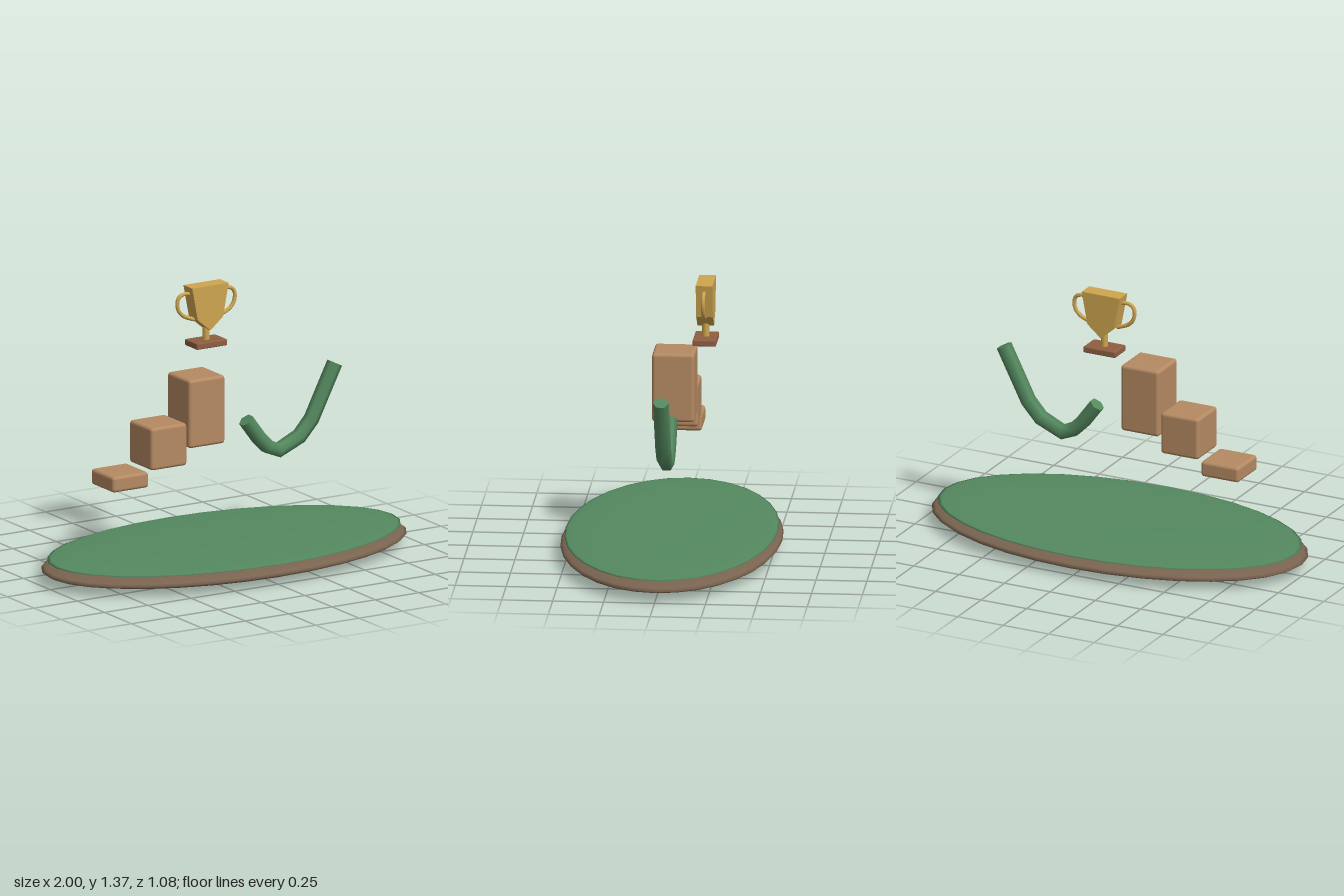
import * as THREE from 'three';
import { RoundedBoxGeometry } from 'three/addons/geometries/RoundedBoxGeometry.js';

const paint = (color) => new THREE.MeshStandardMaterial({ color });
const wood = paint(0xb58a63);
const darkWood = paint(0x7a6450);
const green = paint(0x54895f);
const gold = paint(0xcfa64f);
const brown = paint(0x8f5f42);

function add(parent, name, geometry, material, x = 0, y = 0, z = 0) {
  const mesh = new THREE.Mesh(geometry, material);
  mesh.name = name;
  mesh.position.set(x, y, z);
  parent.add(mesh);
  return mesh;
}

// Curve whose samples fall exactly on its control points
function pathThrough(points) {
  const curve = new THREE.CatmullRomCurve3(points.map(([x, y]) => new THREE.Vector3(x, y, 0)));
  curve.getPointAt = curve.getPoint;
  curve.getTangentAt = curve.getTangent;
  return curve;
}

// Very flat oval dish
function disc(parent, name, material, rx, ry, rz, y) {
  add(parent, name, new THREE.SphereGeometry(1, 32, 16), material, 0, y).scale.set(rx, ry, rz);
}

function createTrophy() {
  const trophy = new THREE.Group();
  trophy.name = 'trophy';
  add(trophy, 'trophyPlinth', new RoundedBoxGeometry(0.176, 0.032, 0.115, 2, 0.006), brown, 0, 1.075);
  add(trophy, 'trophyStem', new THREE.CylinderGeometry(0.018, 0.018, 0.07, 12), gold, 0, 1.123);

  // Cup: a flat-sided shield outline with depth
  const outline = [[-0.105, 1.37], [-0.073, 1.205], [0, 1.143], [0.073, 1.205], [0.105, 1.37]];
  const shape = new THREE.Shape(outline.map(([x, y]) => new THREE.Vector2(x, y)));
  const cup = new THREE.ExtrudeGeometry(shape, { depth: 0.082, bevelEnabled: false });
  add(trophy, 'trophyCup', cup, gold, 0, 0, -0.041);

  // Ear-shaped handles
  for (const s of [-1, 1]) {
    const ear = [[0.09, 1.332], [0.125, 1.336], [0.154, 1.325], [0.166, 1.295],
      [0.157, 1.253], [0.13, 1.225], [0.07, 1.2]].map(([x, y]) => new THREE.Vector3(s * x, y, 0));
    const tube = new THREE.TubeGeometry(new THREE.CatmullRomCurve3(ear), 16, 0.01, 8);
    add(trophy, s > 0 ? 'leftHandle' : 'rightHandle', tube, gold);
  }
  trophy.position.z = -0.166;
  return trophy;
}

function createBentTube() {
  const group = new THREE.Group();
  group.name = 'bentTube';
  const points = [[0.126, 0.7], [0.2, 0.6], [0.249, 0.55], [0.314, 0.522],
    [0.434, 0.575], [0.503, 0.652], [0.573, 0.79], [0.638, 0.918]];
  const curve = pathThrough(points);
  const radius = 0.039;
  add(group, 'tubeBody', new THREE.TubeGeometry(curve, points.length - 1, radius, 6), green);

  // Hexagonal end caps facing outwards
  for (const t of [0, 1]) {
    const p = curve.getPoint(t);
    const out = curve.getTangent(t).multiplyScalar(t ? 1 : -1);
    const cap = add(group, 'tubeEnd', new THREE.CircleGeometry(radius, 6), green, p.x, p.y, p.z);
    cap.lookAt(p.clone().add(out));
  }
  return group;
}

export function createModel() {
  const model = new THREE.Group();
  model.name = 'trophyIsland';

  // Oval base with a green top
  disc(model, 'base', darkWood, 1, 0.058, 0.542, 0.059);
  disc(model, 'greenTop', green, 0.968, 0.018, 0.522, 0.105);

  // Three rising blocks
  const steps = [[-0.6, 0.47, 0.55], [-0.379, 0.551, 0.765], [-0.16, 0.632, 0.977]];
  steps.forEach(([x, bottom, top], i) => {
    const block = new RoundedBoxGeometry(0.208, top - bottom, 0.208, 3, 0.016);
    add(model, `step${i + 1}`, block, wood, x, (bottom + top) / 2, 0);
  });

  model.add(createBentTube(), createTrophy());
  return model;
}
